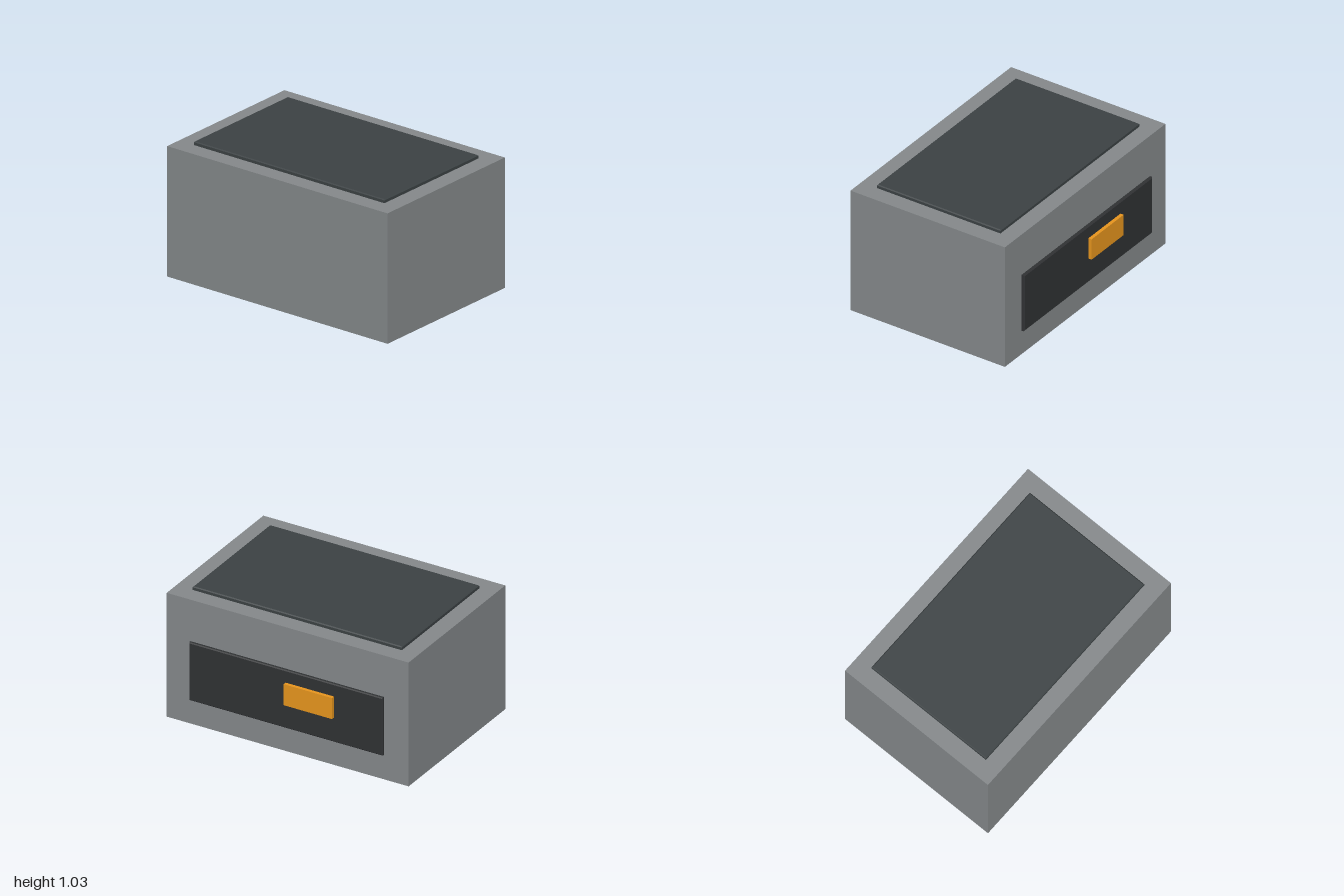
import * as THREE from 'three';

const material = (color) => new THREE.MeshStandardMaterial({ color, flatShading: true });

// Rectangular plate centred on the origin, facing +z, with chamfered rims
function chamferedPlate(w, h, depth, bevel) {
  const x = w / 2 - bevel, y = h / 2 - bevel;
  const shape = new THREE.Shape([
    new THREE.Vector2(-x, -y), new THREE.Vector2(x, -y),
    new THREE.Vector2(x, y), new THREE.Vector2(-x, y),
  ]);
  return new THREE.ExtrudeGeometry(shape, {
    depth: depth - 2 * bevel, bevelEnabled: true,
    bevelThickness: bevel, bevelSize: bevel, bevelSegments: 1,
  }).center();
}

export function createModel() {
  const group = new THREE.Group();
  const add = (name, geometry, color, x, y, z) => {
    const mesh = new THREE.Mesh(geometry, material(color));
    mesh.name = name;
    mesh.position.set(x, y, z);
    group.add(mesh);
    return mesh;
  };

  // Main housing
  add('body', new THREE.BoxGeometry(2, 1, 1.33), 0x85898b, 0, 0.5, 0.027);

  // Thin plate lying on top
  add('topPanel', chamferedPlate(1.73, 1.065, 0.035, 0.007), 0x3c4244, 0, 1.0105, 0.026)
    .rotation.x = -Math.PI / 2;

  // Recess-coloured plate on the back, with its raised block
  add('backPanel', chamferedPlate(1.6, 0.467, 0.03, 0.007), 0x303234, 0, 0.435, -0.651);
  add('backBlock', new THREE.BoxGeometry(0.4, 0.17, 0.034), 0xe8961e, -0.2, 0.485, -0.676);

  return group;
}
